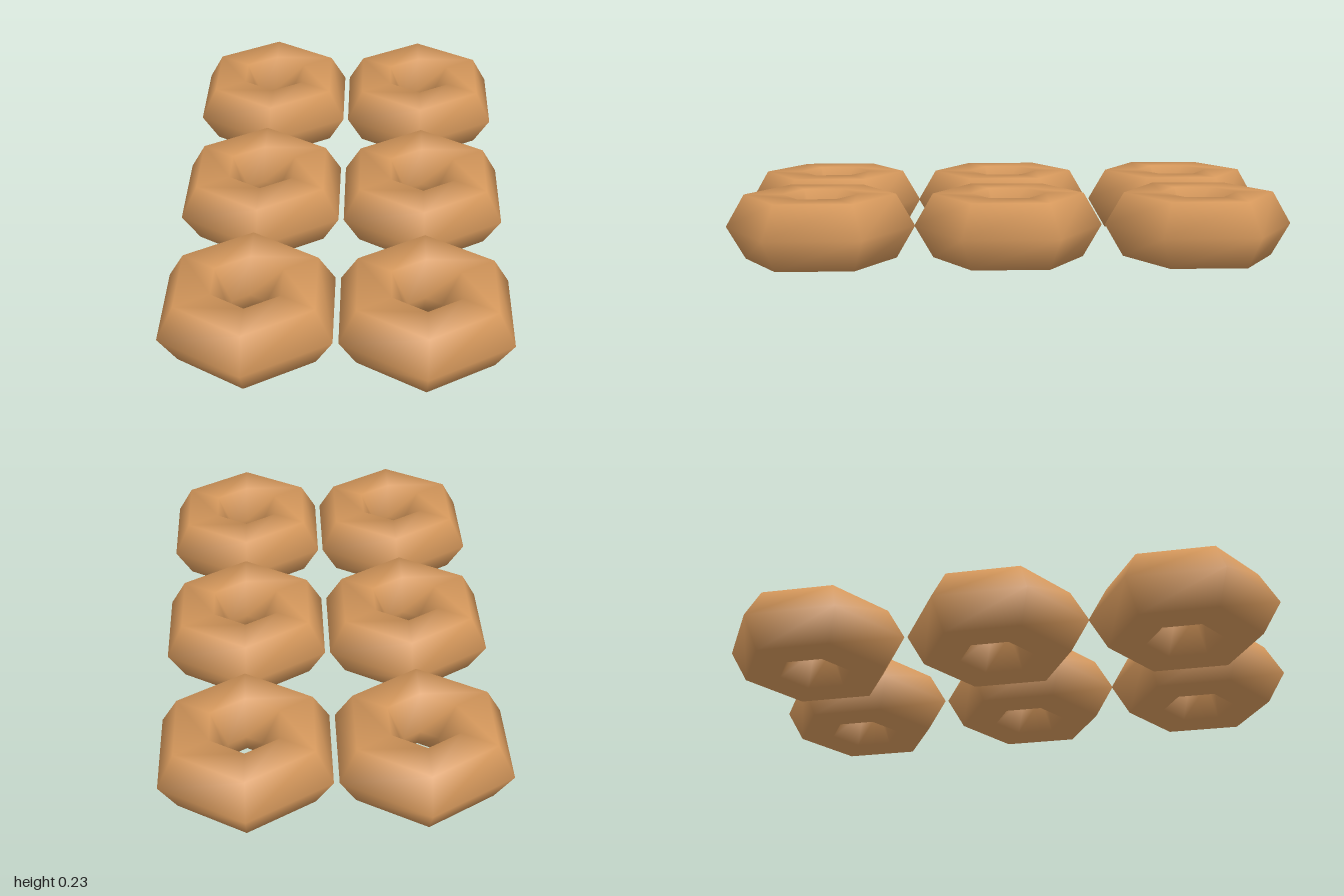
import * as THREE from 'three';

export function createModel() {
  const group = new THREE.Group();
  group.name = 'ringTray';

  const dough = new THREE.MeshStandardMaterial({ color: 0xd4975b });
  dough.name = 'golden dough';

  // Six-sided ring with a six-sided cross-section, smooth shaded, corners toward +z and -z
  const ringRadius = 0.2, tubeRadius = 0.132;
  const ringGeometry = new THREE.TorusGeometry(ringRadius, tubeRadius, 6, 6);
  ringGeometry.rotateX(-Math.PI / 2);
  ringGeometry.rotateY(Math.PI / 6);
  const halfHeight = tubeRadius * Math.sin(Math.PI / 3);

  // Two columns of three rings
  for (const x of [-0.297, 0.297]) {
    for (const z of [-0.668, 0.007, 0.668]) {
      const ring = new THREE.Mesh(ringGeometry, dough);
      ring.name = 'doughRing';
      ring.position.set(x, halfHeight, z);
      group.add(ring);
    }
  }
  return group;
}
